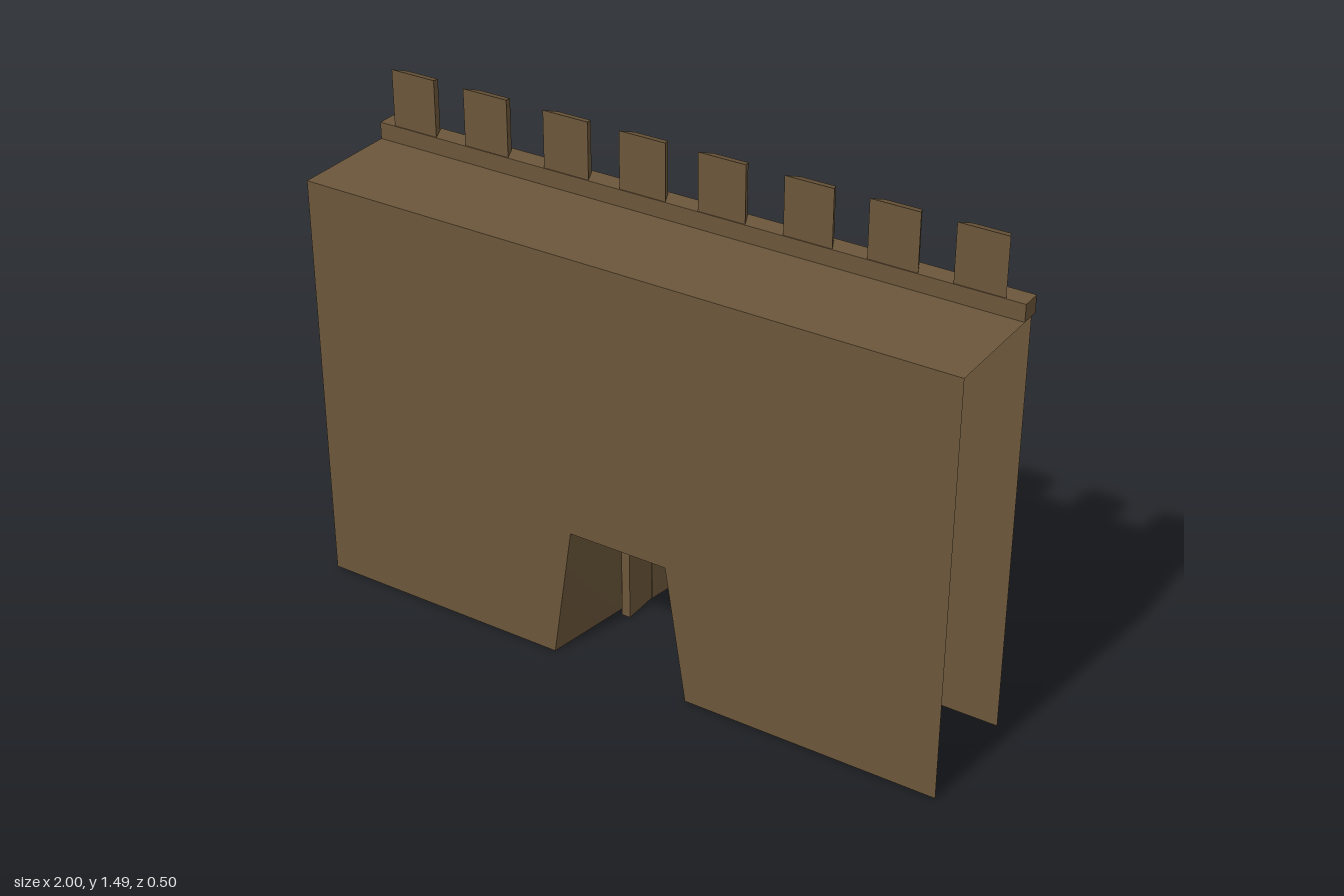
import * as THREE from 'three';

const WALL_TOP = 1.27, FRONT = 0.25, BACK = -0.115, GATE = 0.42;

export function createModel() {
  const group = new THREE.Group();
  const stone = new THREE.MeshStandardMaterial({ color: 0x6b563a, side: THREE.DoubleSide });
  stone.name = 'brown stone';

  const add = (name, geometry, x = 0, y = 0, z = 0) => {
    const mesh = new THREE.Mesh(geometry, stone);
    mesh.name = name;
    mesh.position.set(x, y, z);
    group.add(mesh);
    return mesh;
  };
  // Open sheet from four corners
  const quad = (a, b, c, d, smooth) => {
    let g = new THREE.BufferGeometry();
    g.setAttribute('position', new THREE.Float32BufferAttribute([...a, ...b, ...c, ...d], 3));
    g.setIndex([0, 1, 2, 0, 2, 3]);
    if (!smooth) g = g.toNonIndexed();
    g.computeVertexNormals();
    return g;
  };

  // Wall sheets with a tapered gate opening
  const wall = new THREE.Shape([
    [-1, 0], [-0.21, 0], [-0.148, GATE], [0.16, GATE], [0.225, 0], [1, 0], [1, WALL_TOP], [-1, WALL_TOP],
  ].map(([x, y]) => new THREE.Vector2(x, y)));
  add('frontWall', new THREE.ShapeGeometry(wall), 0, 0, FRONT);
  const backSheet = new THREE.ShapeGeometry(wall);
  backSheet.scale(-1, 1, 1);
  backSheet.rotateY(Math.PI);
  add('backWall', backSheet, 0, 0, BACK);

  // Walkway on top
  add('walkway', quad([-1, WALL_TOP, FRONT], [1, WALL_TOP, FRONT], [1, WALL_TOP, BACK], [-1, WALL_TOP, BACK]));

  // Gate passage: twisted side walls and a ceiling
  add('passageRightWall', quad([-0.148, GATE, FRONT], [-0.21, 0, FRONT], [-0.148, 0, BACK], [-0.148, GATE, BACK], true));
  add('passageLeftWall', quad([0.16, GATE, FRONT], [0.16, GATE, BACK], [0.16, 0, BACK], [0.225, 0, FRONT], true));
  add('passageCeiling', quad([-0.148, GATE, FRONT], [-0.148, GATE, BACK], [0.16, GATE, BACK], [0.16, GATE, FRONT]));

  // Jambs and the open gate doors behind them
  for (const side of [-1, 1]) {
    const label = side < 0 ? 'right' : 'left';
    const mid = 0.006;
    add(label + 'Jamb', new THREE.BoxGeometry(0.027, GATE, 0.115), mid + side * 0.14, GATE / 2, -0.0575);
    const door = add(label + 'Door', new THREE.BoxGeometry(0.021, GATE, 0.13), mid + side * 0.124, GATE / 2, -0.182);
    door.rotation.y = side * 0.17;
  }

  // Ledge carrying the battlements
  add('ledge', new THREE.BoxGeometry(2, 0.05, 0.06), 0, 1.295, -0.107);

  // Merlons: narrower and slightly lower at the back
  const merlon = new THREE.BoxGeometry(0.145, 0.17, 0.045);
  const p = merlon.attributes.position;
  for (let i = 0; i < p.count; i++) {
    if (p.getZ(i) < 0) {
      p.setX(i, p.getX(i) * 0.72);
      if (p.getY(i) > 0) p.setY(i, p.getY(i) - 0.016);
    }
  }
  merlon.computeVertexNormals();
  for (const x of [-0.878, -0.633, -0.368, -0.123, 0.123, 0.382, 0.628, 0.872]) {
    add('merlon', merlon, x, 1.405, -0.1025);
  }
  return group;
}
